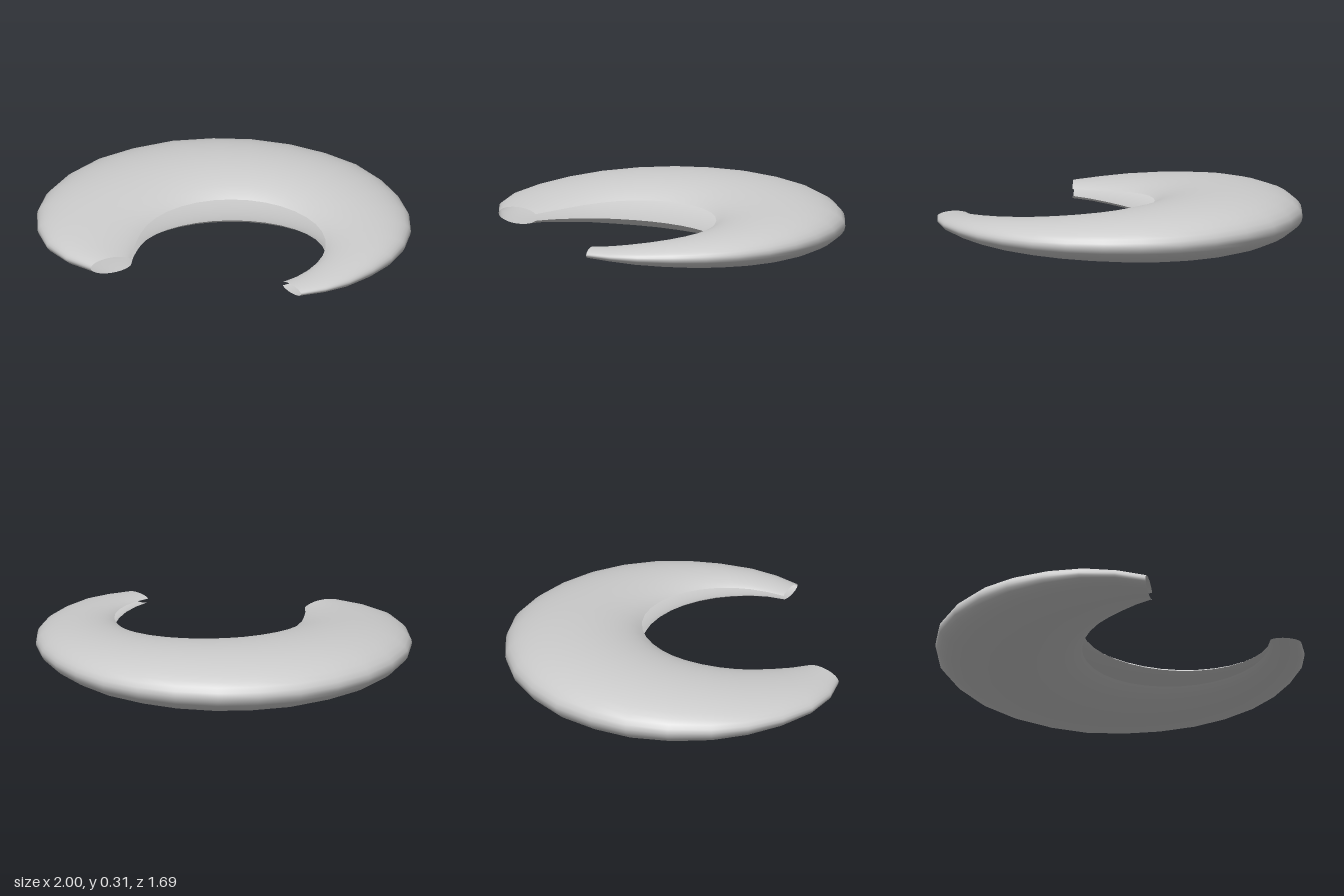
import * as THREE from 'three';

// Outer rim (x, z), running from the wide tip round the back to the narrow tip
const OUTER = [
  [-0.51, 0.84], [-0.67, 0.77], [-0.815, 0.645], [-0.92, 0.47], [-0.985, 0.27],
  [-1, 0.07], [-0.96, -0.16], [-0.87, -0.37], [-0.735, -0.54], [-0.56, -0.69],
  [-0.35, -0.79], [-0.14, -0.845], [0.09, -0.85], [0.30, -0.81], [0.50, -0.73],
  [0.67, -0.60], [0.805, -0.45], [0.91, -0.28], [0.975, -0.10], [1, 0.09],
  [0.985, 0.27], [0.935, 0.44], [0.855, 0.61], [0.76, 0.73], [0.65, 0.82],
];
// Section height at every third rim point
const HEIGHTS = [0.09, 0.18, 0.268, 0.305, 0.295, 0.245, 0.185, 0.12, 0.05];
const MID_Y = 0.153;
const ARC_STEPS = 32;
const LIP = 0.4; // height of the inner slot as a fraction of the section height

// Crescent shell: truncated ellipse sections, open towards the inner edge
function crescentGeometry() {
  const last = OUTER.length - 1;
  const n = ARC_STEPS + 1;
  const heightCurve = new THREE.SplineCurve(
    HEIGHTS.map((h, k) => new THREE.Vector2(k, h)));
  const start = Math.PI - Math.asin(LIP);
  const lipCos = -Math.cos(start);
  const positions = [], indices = [];

  for (let i = 0; i <= last; i++) {
    // Inner rim: nearly circular, easing outward at the wide tip
    const angle = THREE.MathUtils.degToRad(147 + (253 * i) / last);
    const r = 0.5 + 0.055 * Math.max(0, 1 - i / 3) ** 2;
    const ix = 0.135 + r * Math.cos(angle);
    const iz = 0.4 + r * Math.sin(angle);
    const half = heightCurve.getPoint(i / last).y / 2;
    const [ox, oz] = OUTER[i];

    // From the upper lip over the outer rim to the lower lip
    for (let j = 0; j < n; j++) {
      const phi = start * (1 - (2 * j) / ARC_STEPS);
      const u = (Math.cos(phi) + lipCos) / (1 + lipCos);
      positions.push(
        THREE.MathUtils.lerp(ix, ox, u),
        MID_Y + half * Math.sin(phi),
        THREE.MathUtils.lerp(iz, oz, u));
      if (i < last && j < ARC_STEPS) {
        const a = i * n + j, b = a + n;
        indices.push(a, b, a + 1, b, b + 1, a + 1);
      }
    }
  }

  const geometry = new THREE.BufferGeometry();
  geometry.setAttribute('position', new THREE.Float32BufferAttribute(positions, 3));
  geometry.setIndex(indices);
  geometry.computeVertexNormals();
  return geometry;
}

export function createModel() {
  const group = new THREE.Group();
  group.name = 'crescent';
  const material = new THREE.MeshStandardMaterial({
    color: 0xcccccc, side: THREE.DoubleSide,
  });
  const shell = new THREE.Mesh(crescentGeometry(), material);
  shell.name = 'crescentShell';
  group.add(shell);
  return group;
}
